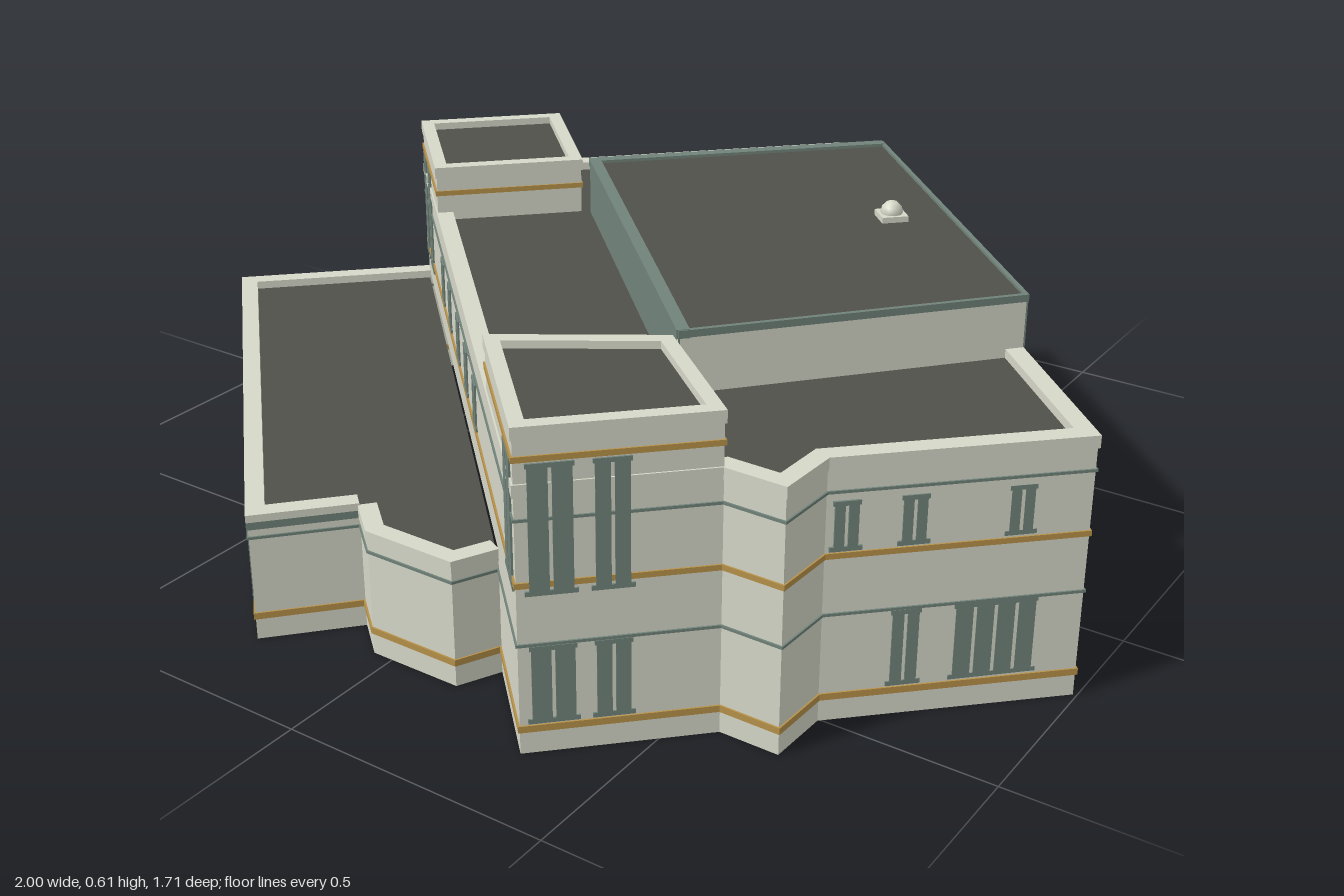
import * as THREE from 'three';

const mat = (name, color, side = THREE.FrontSide) => {
  const m = new THREE.MeshStandardMaterial({ color, side });
  m.name = name;
  return m;
};

export function createModel() {
  const stone = mat('pale stone', 0xd6d8c8);
  const roofing = mat('dark roofing', 0x51514b, THREE.DoubleSide);
  const teal = mat('grey teal', 0x71837a);
  const gold = mat('ochre band', 0xb8924a);

  const model = new THREE.Group();
  model.name = 'building';
  // plan is drawn square to its own axes, then turned on the plot
  const plan = new THREE.Group();
  plan.name = 'plan';
  plan.rotation.y = -Math.PI / 4;
  model.add(plan);

  const add = (name, geo, material) => {
    const m = new THREE.Mesh(geo, material);
    m.name = name;
    plan.add(m);
    return m;
  };
  const vec = ([x, y]) => new THREE.Vector2(x, y);

  // mitred inward offset of a plan line (counter-clockwise)
  function inset(pts, d, closed) {
    const n = pts.length;
    const normal = (i, j) => {
      const t = vec(pts[j]).sub(vec(pts[i])).normalize();
      return new THREE.Vector2(-t.y, t.x);
    };
    return pts.map((p, i) => {
      const first = !closed && i === 0, last = !closed && i === n - 1;
      const n2 = last ? normal(i - 1, i) : normal(i, (i + 1) % n);
      const n1 = first ? n2 : normal((i + n - 1) % n, i);
      return vec(p).addScaledVector(n1.clone().add(n2), d / (1 + n1.dot(n2)));
    });
  }

  // strip of wall, band or coping following a plan line, from offset d0 to d1
  function strip(name, pts, y0, y1, d0, d1, material, closed = true) {
    const outer = inset(pts, d0, closed), inner = inset(pts, d1, closed);
    let shape;
    if (closed) {
      shape = new THREE.Shape(outer);
      shape.holes.push(new THREE.Path(inner));
    } else shape = new THREE.Shape([...outer, ...inner.reverse()]);
    const geo = new THREE.ExtrudeGeometry(shape, { depth: y1 - y0, bevelEnabled: false });
    geo.rotateX(Math.PI / 2).translate(0, y1, 0);
    return add(name, geo, material);
  }
  const wall = (name, pts, y0, y1, closed, material = stone) =>
    strip(name, pts, y0, y1, 0, 0.004, material, closed);
  const band = (name, pts, y, h, material, closed) =>
    strip(name, pts, y - h / 2, y + h / 2, -0.003, 0.005, material, closed);
  const coping = (name, pts, y, closed, w = 0.03) =>
    strip(name, pts, y - 0.02, y + 0.002, -0.003, w, stone, closed);
  function roof(name, pts, y) {
    const geo = new THREE.ShapeGeometry(new THREE.Shape(inset(pts, 0.002, true)));
    geo.rotateX(Math.PI / 2).translate(0, y, 0);
    add(name, geo, roofing);
  }

  // plan lines
  const east = [[0.845, -0.56], [0.84, -0.127], [0.919, -0.042], [0.841, 0.035], [0.841, 0.355]];
  const bay = [[0.605, 0.355], [0.633, 0.435], [0.506, 0.562], [0.414, 0.569]];
  const wing = [[0.414, 0.569], [0.424, 0.757], [-0.658, 0.757], [-0.655, 0.355]];
  const annex = [[-0.65, 0.068], [-0.735, 0.068], [-0.735, -0.268], [-0.655, -0.268], [-0.655, -0.56]];
  const ground = [...east, ...bay, ...wing.slice(1), ...annex];
  const middle = [...east, [-0.655, 0.355], ...annex];
  const upper = [...east, [-0.655, 0.355], [-0.655, 0.068], [-0.628, 0.068], [-0.628, -0.56]];
  const tower = [[-0.655, 0.064], [-0.343, 0.064], [-0.343, 0.355], [-0.655, 0.355]];
  const pavilion = [[0.559, 0.06], [0.841, 0.035], [0.841, 0.355], [0.5, 0.355]];
  const hall = [[-0.335, -0.562], [0.505, -0.562], [0.548, 0.047], [-0.335, 0.047]];

  // ground storey, low wing and bay
  wall('groundWalls', ground, 0, 0.235);
  band('groundGoldBand', ground, 0.046, 0.012, gold);
  band('groundTealLine', ground, 0.198, 0.005, teal);
  band('wingTealBand', wing, 0.221, 0.014, teal, false);
  coping('wingCoping', wing, 0.24, false);
  coping('bayCoping', bay, 0.236, false);
  roof('wingRoof', [...bay, ...wing.slice(1)], 0.226);

  // middle storey with rear annex
  wall('middleWalls', middle, 0.235, 0.38);
  band('middleGoldBand', middle, 0.304, 0.01, gold);
  coping('annexCoping', annex, 0.38, false, 0.022);
  roof('annexRoof', [[-0.62, -0.56], [-0.62, 0.068], ...annex], 0.367);

  // upper storey
  wall('upperWalls', upper, 0.38, 0.475);
  band('upperTealLine', upper, 0.416, 0.005, teal);
  coping('upperCoping', upper, 0.475, true);
  roof('mainRoof', upper, 0.461);

  // corner tower and front pavilion
  for (const [name, pts] of [['tower', tower], ['pavilion', pavilion]]) {
    wall(name + 'Walls', pts, 0.46, 0.57);
    band(name + 'GoldBand', pts, 0.518, 0.01, gold);
    coping(name + 'Coping', pts, 0.57, true, 0.022);
    roof(name + 'Roof', pts, 0.558);
  }

  // raised hall: teal sides, stone end
  wall('hallSides', [hall[2], hall[3], hall[0]], 0.46, 0.572, false, teal);
  strip('hallLongSide', [hall[0], hall[1]], 0.41, 0.572, -0.003, 0.004, teal, false);
  wall('hallEnd', [hall[1], hall[2]], 0.46, 0.572, false);
  roof('hallRoof', hall, 0.57);
  strip('hallTrim', [hall[2], hall[3], hall[0]], 0.56, 0.576, -0.002, 0.02, teal, false);
  strip('hallEdge', [hall[0], hall[1], hall[2]], 0.562, 0.575, -0.003, 0.005, teal, false);

  // roof ventilator
  const va = 0.096, vb = -0.45;
  add('ventBase', new THREE.BoxGeometry(0.05, 0.012, 0.05), stone).position.set(va, 0.575, vb);
  add('ventCap', new THREE.SphereGeometry(0.021, 10, 6), stone).position.set(va, 0.584, vb);

  // windows: panes, lintel and sill; face gives the wall's axis, place and outward sign
  const faces = {
    east: ['x', 0.841, 1], rear: ['x', -0.655, -1], long: ['z', -0.56, -1],
    street: ['z', 0.355, 1], wing: ['z', 0.757, 1],
  };
  function windowAt(face, at, y0, y1, w, panes = Math.max(1, Math.round(w / 0.03))) {
    const [axis, place, sign] = faces[face];
    const plate = (c, yc, pw, ph) => {
      const p = place - sign * 0.0015;
      const m = axis === 'x'
        ? add(face + 'Window', new THREE.BoxGeometry(0.0095, ph, pw), teal)
        : add(face + 'Window', new THREE.BoxGeometry(pw, ph, 0.0095), teal);
      m.position.set(axis === 'x' ? p : c, yc, axis === 'x' ? c : p);
    };
    const step = w / panes;
    for (let i = 0; i < panes; i++) {
      plate(at + (i + 0.5) * step - w / 2, (y0 + y1) / 2, step - 0.006, y1 - y0);
    }
    plate(at, y1 - 0.004, w, 0.008);
    plate(at, y0 + 0.004, w + 0.008, 0.008);
  }
  const row = (face, y0, y1, list) => list.forEach(([at, w, n]) => windowAt(face, at, y0, y1, w, n));
  const low = [0.055, 0.195], mid = [0.312, 0.4], tall = [0.285, 0.51];

  // long rear-left side
  row('long', ...mid, [-0.065, -0.12, -0.26, -0.315, -0.47, -0.53, -0.605, -0.675, -0.735]
    .map((z) => [z * Math.SQRT2 + 0.56, 0.052]));
  row('long', ...low, [0.08, -0.06, -0.12, -0.47, -0.53, -0.725].map((z) => [z * Math.SQRT2 + 0.56, 0.052]));
  row('long', ...low, [[-0.325 * Math.SQRT2 + 0.56, 0.23, 6]]);
  row('long', 0.14, 0.195, [[-0.66 * Math.SQRT2 + 0.56, 0.05, 1]]);

  // front end and pavilion
  row('east', ...mid, [[-0.16, 0.045], [-0.27, 0.045], [-0.445, 0.045]]);
  row('east', ...low, [[-0.265, 0.05], [-0.415, 0.14, 4]]);
  row('east', ...tall, [[0.3, 0.075, 2], [0.205, 0.06, 2]]);
  row('east', ...low, [[0.3, 0.075, 2], [0.205, 0.06, 2]]);

  // street side: pavilion, tower and the five upper windows between
  row('street', ...tall, [[0.78, 0.08, 2], [-0.615, 0.055, 2], [-0.525, 0.06, 2]]);
  row('street', ...mid, [-0.445, -0.35, -0.24, -0.14, -0.04].map((x) => [x * Math.SQRT2 + 0.355, 0.048]));

  // low wing, street side
  row('wing', ...low, [
    [-0.622, 0.04], [-0.545, 0.05], [-0.42, 0.11], [-0.29, 0.11], [-0.155, 0.12],
    [0.08, 0.085], [0.22, 0.085], [0.345, 0.075],
  ]);

  // rear end: tower, low wing and main block
  row('rear', ...tall, [[0.3, 0.075, 2], [0.205, 0.06, 2]]);
  row('rear', ...low, [[0.52, 0.075], [0.61, 0.06], [0.705, 0.06], [-0.42, 0.14, 4]]);

  return model;
}
